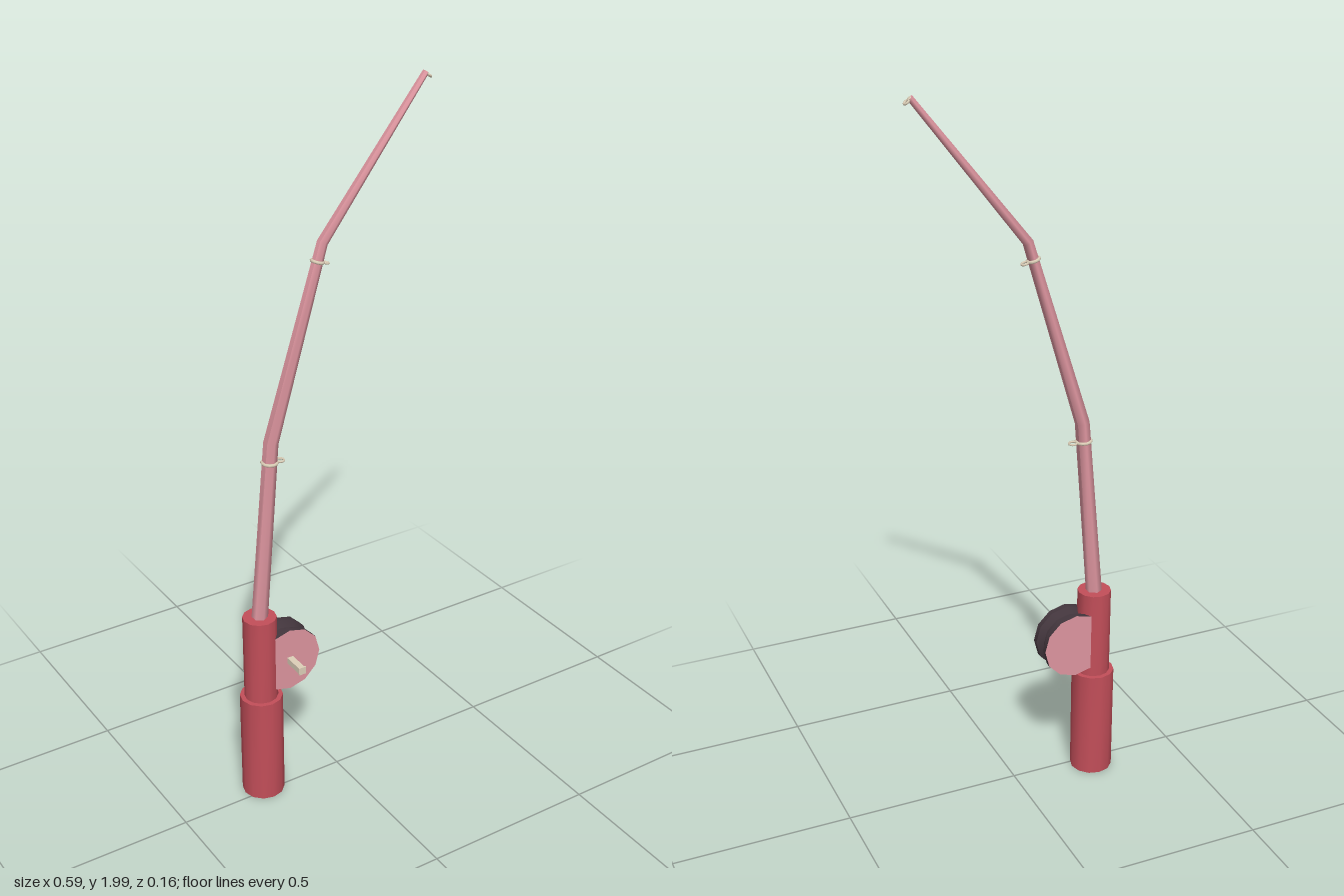
import * as THREE from 'three';
import { toCreasedNormals } from 'three/addons/utils/BufferGeometryUtils.js';

const Z = -0.023; // plane in which the rod bends
const mat = (color) => new THREE.MeshStandardMaterial({ color });

export function createModel() {
  const model = new THREE.Group();
  const red = mat(0xc24e59), pink = mat(0xdd959f), dark = mat(0x43363d), tan = mat(0xddcfb8);

  const add = (name, geometry, material, x, y, z, parent = model) => {
    const mesh = new THREE.Mesh(geometry, material);
    mesh.name = name;
    mesh.position.set(x, y, z);
    parent.add(mesh);
    return mesh;
  };
  const creased = (g) => toCreasedNormals(g, 1.1);

  // Two-step handle
  add('grip', creased(new THREE.CylinderGeometry(0.06, 0.06, 0.32, 12)), red, -0.235, 0.16, Z);
  add('reelSeat', creased(new THREE.CylinderGeometry(0.047, 0.047, 0.255, 12)), red, -0.235, 0.4475, Z);

  // Bent six-sided rod: the rings of a cylinder are placed along the bends
  const bends = [
    { x: -0.235, y: 0.56, r: 0.0225 },
    { x: -0.188, y: 1.09, r: 0.02 },
    { x: -0.028, y: 1.605, r: 0.0145 },
    { x: 0.276, y: 1.99, r: 0.0085 },
  ];
  const direction = (i) => {
    const a = bends[Math.max(i - 1, 0)], b = bends[Math.min(i + 1, 3)], m = bends[i];
    const d1 = new THREE.Vector2(m.x - a.x, m.y - a.y).normalize();
    const d2 = new THREE.Vector2(b.x - m.x, b.y - m.y).normalize();
    return d1.add(d2).normalize();
  };
  const rod = new THREE.CylinderGeometry(1, 1, 3, 6, 3);
  const p = rod.attributes.position;
  for (let k = 0; k < p.count; k++) {
    const i = Math.round(p.getY(k) + 1.5);
    const { x, y, r } = bends[i], d = direction(i), side = p.getX(k) * r;
    p.setXYZ(k, x + d.y * side, y - d.x * side, p.getZ(k) * r);
  }
  add('rod', creased(rod), pink, 0, 0, Z);

  // Reel: waisted spool between two flat discs
  const reel = new THREE.Group();
  reel.name = 'reel';
  reel.position.set(-0.163, 0.43, Z);
  model.add(reel);
  const profile = [[0.095, -0.0385], [0.095, -0.022], [0.078, -0.008], [0.078, 0.008], [0.095, 0.022], [0.095, 0.0385]]
    .map(([r, h]) => new THREE.Vector2(r, h));
  const spool = new THREE.LatheGeometry(profile, 12);
  spool.rotateX(Math.PI / 2);
  add('spool', toCreasedNormals(spool, 0.6), dark, 0, 0, 0, reel);
  add('frontDisc', new THREE.CircleGeometry(0.095, 12), pink, 0, 0, 0.0385, reel);
  add('backDisc', new THREE.CircleGeometry(0.095, 12), pink, 0, 0, -0.0385, reel).rotation.y = Math.PI;

  // Square crank with a wider end
  add('crank', new THREE.BoxGeometry(0.018, 0.018, 0.065), tan, 0, 0, 0.069, reel);
  add('crankEnd', new THREE.BoxGeometry(0.022, 0.022, 0.004), tan, 0, 0, 0.102, reel);

  // Line guides: a band around the rod with an eye on its outer side
  const ring = (r, tube) => new THREE.TorusGeometry(r, tube, 6, 12).rotateX(Math.PI / 2);
  const guide = (name, x, y, tilt, band, eye) => {
    const g = new THREE.Group();
    g.name = name;
    g.position.set(x, y, Z);
    g.rotation.z = tilt;
    if (band) add('band', ring(band, 0.0045), tan, 0, 0, 0, g);
    add('eye', ring(eye, 0.003), tan, band + eye, 0, 0, g);
    model.add(g);
  };
  guide('lowerGuide', -0.193, 1.035, -0.05, 0.0205, 0.011);
  guide('middleGuide', -0.043, 1.558, -0.3, 0.0155, 0.009);
  guide('tipGuide', 0.276, 1.987, -0.67, 0.003, 0.0075);

  return model;
}
